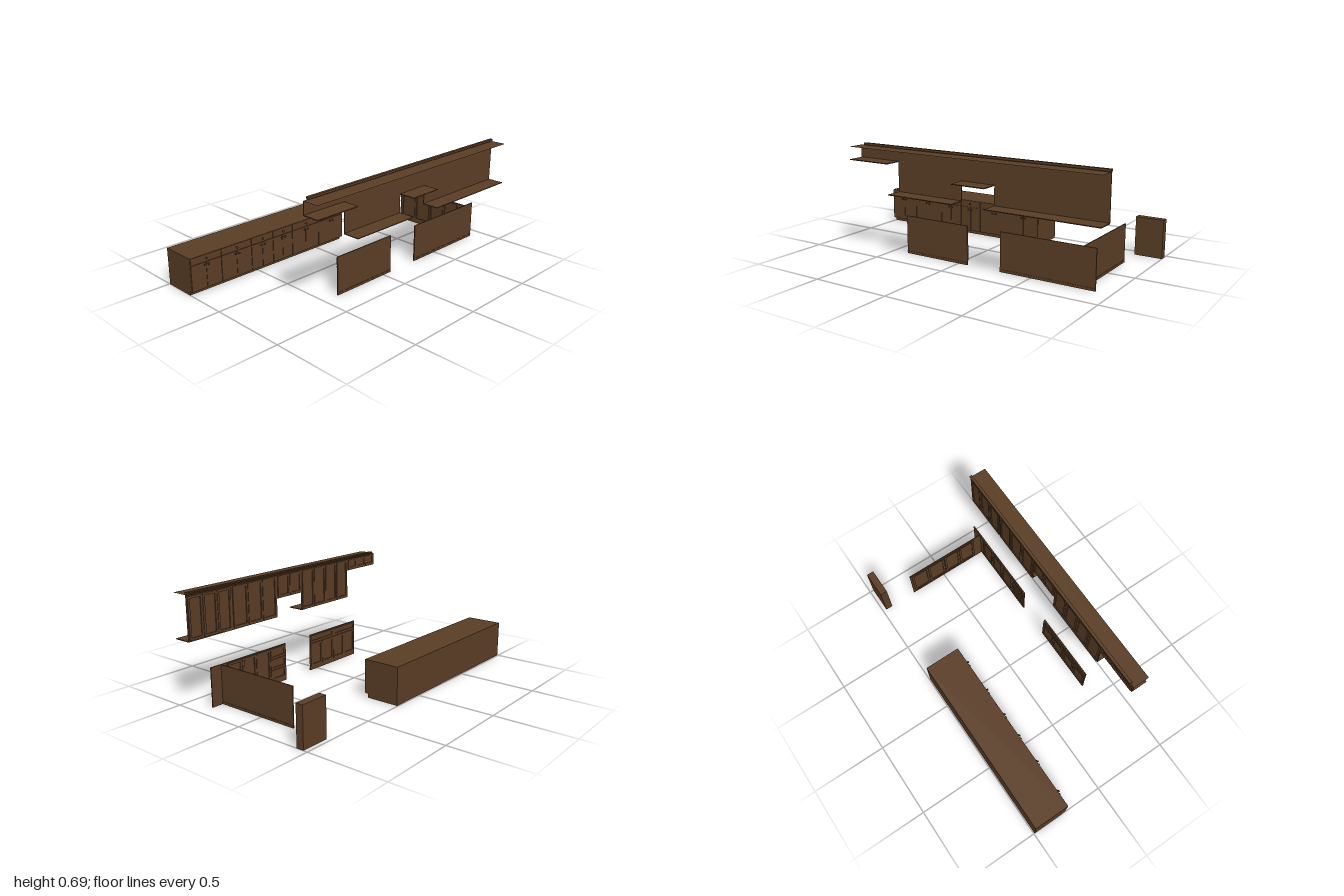
import * as THREE from 'three';

const wood = new THREE.MeshStandardMaterial({ color: 0x5a3d25, side: THREE.DoubleSide });
wood.name = 'dark brown wood';

// box given by its lower and upper corners
function box(parent, name, x0, x1, y0, y1, z0, z1) {
  const m = new THREE.Mesh(new THREE.BoxGeometry(x1 - x0, y1 - y0, z1 - z0), wood);
  m.position.set((x0 + x1) / 2, (y0 + y1) / 2, (z0 + z1) / 2);
  m.name = name;
  parent.add(m);
  return m;
}

// framed door or drawer front with an open recessed field, facing local +z from z = 0
function framed(parent, name, x0, x1, y0, y1, depth = 0.006) {
  const g = 0.0015, b = Math.min(0.014, (x1 - x0) * 0.2, (y1 - y0) * 0.25);
  const rect = (P, e) => {
    const p = new P();
    p.moveTo(x0 + e, y0 + e);
    p.lineTo(x1 - e, y0 + e);
    p.lineTo(x1 - e, y1 - e);
    p.lineTo(x0 + e, y1 - e);
    p.closePath();
    return p;
  };
  const s = rect(THREE.Shape, g);
  s.holes.push(rect(THREE.Path, g + b));
  const m = new THREE.Mesh(new THREE.ExtrudeGeometry(s, { depth, bevelEnabled: false }), wood);
  m.name = name;
  parent.add(m);
}

function doorRow(parent, x0, x1, count, y0, y1) {
  const w = (x1 - x0) / count;
  for (let i = 0; i < count; i++) framed(parent, 'door', x0 + i * w, x0 + (i + 1) * w, y0, y1);
}

// round pull: short stem and wider head, along +z
function knob(parent, x, y, z) {
  const profile = [[0, 0], [0.003, 0], [0.003, 0.006], [0.007, 0.008], [0.006, 0.012], [0, 0.013]];
  const geo = new THREE.LatheGeometry(profile.map(p => new THREE.Vector2(...p)), 12);
  geo.rotateX(Math.PI / 2);
  const m = new THREE.Mesh(geo, wood);
  m.name = 'knob';
  m.position.set(x, y, z);
  parent.add(m);
}

// group whose local +z looks along the given heading
function facing(parent, name, x, z, angle) {
  const g = new THREE.Group();
  g.name = name;
  g.position.set(x, 0, z);
  g.rotation.y = angle;
  parent.add(g);
  return g;
}

export function createModel() {
  const root = new THREE.Group();
  root.name = 'kitchenCabinets';

  // long base cabinet with a recessed plinth
  const base = new THREE.Group();
  base.name = 'baseCabinet';
  root.add(base);
  box(base, 'carcass', -1, 0.22, 0.025, 0.237, -0.495, -0.262);
  box(base, 'plinth', -1, 0.22, 0, 0.025, -0.495, -0.282);
  const fronts = facing(base, 'baseFronts', 0, -0.262, 0);
  const bounds = [-1, -0.785, -0.56, -0.39, -0.23, 0, 0.22];
  for (let i = 0; i < bounds.length - 1; i++) {
    const a = bounds[i], b = bounds[i + 1], c = (a + b) / 2;
    box(fronts, 'drawerFront', a + 0.0015, b - 0.0015, 0.193, 0.236, 0, 0.005);
    box(fronts, 'door', a + 0.0015, c - 0.001, 0.026, 0.19, 0, 0.005);
    box(fronts, 'door', c + 0.001, b - 0.0015, 0.026, 0.19, 0, 0.005);
    knob(fronts, c, 0.215, 0.005);
    for (const s of [-1, 1]) knob(fronts, c + s * 0.013, 0.175, 0.005);
  }

  // separate narrow cabinet
  box(root, 'endCabinet', 0.822, 1, 0, 0.246, -0.475, -0.428);

  // low panels, plain on the front and framed on the back
  const low = new THREE.Group();
  low.name = 'lowPanels';
  root.add(low);
  for (const [x0, x1] of [[-0.393, 0.065], [0.295, 0.905]]) {
    box(low, 'panel', x0, x1, 0, 0.243, 0.318, 0.325);
    box(low, 'baseStrip', x0, x1, 0, 0.016, 0.325, 0.327);
  }
  const backFronts = facing(low, 'lowFronts', 0, 0.318, Math.PI);
  // local x runs opposite to model x here
  doorRow(backFronts, -0.065, 0.165, 2, 0.025, 0.185);
  framed(backFronts, 'drawerFront', -0.065, 0.165, 0.188, 0.238);
  doorRow(backFronts, 0.165, 0.39, 2, 0.025, 0.185);
  framed(backFronts, 'drawerFront', 0.165, 0.39, 0.188, 0.238);
  doorRow(backFronts, -0.785, -0.555, 2, 0.025, 0.238);
  doorRow(backFronts, -0.555, -0.435, 1, 0.025, 0.238);
  for (let i = 0; i < 3; i++)
    framed(backFronts, 'drawerFront', -0.435, -0.3, 0.025 + i * 0.071, 0.096 + i * 0.071);

  // return panel running backwards, framed on its inner side
  box(low, 'returnPanel', 0.824, 0.83, 0, 0.243, -0.247, 0.318);
  box(low, 'returnBaseStrip', 0.83, 0.832, 0, 0.016, -0.247, 0.318);
  const sideFronts = facing(low, 'returnFronts', 0.824, 0, -Math.PI / 2);
  doorRow(sideFronts, -0.235, 0.02, 2, 0.025, 0.238);
  doorRow(sideFronts, 0.022, 0.26, 2, 0.025, 0.238);

  // wall cabinets: back sheet, bottom board and framed doors per section
  const upper = new THREE.Group();
  upper.name = 'wallCabinets';
  root.add(upper);
  const doors = facing(upper, 'wallDoors', 0, 0.382, Math.PI);
  const sections = [
    [-0.7, -0.4, 0.592, 3],
    [-0.4, 0.07, 0.403, 4],
    [0.07, 0.295, 0.522, 2],
    [0.295, 0.67, 0.403, 3],
    [0.67, 1, 0.403, 3],
  ];
  for (const [x0, x1, y0, n] of sections) {
    box(upper, 'faceSheet', x0, x1, y0, 0.675, 0.382, 0.386);
    box(upper, 'bottomBoard', x0, x1, y0, y0 + 0.005, 0.386, 0.491);
    doorRow(doors, -x1 + 0.006, -x0 - 0.006, n, y0 + 0.006, 0.667);
  }

  // thin top sheet
  const top = new THREE.Mesh(new THREE.PlaneGeometry(1.7, 0.107), wood);
  top.name = 'topSheet';
  top.rotation.x = -Math.PI / 2;
  top.position.set(0.15, 0.675, 0.4375);
  upper.add(top);

  // wedge-shaped crown moulding
  const s = new THREE.Shape();
  s.moveTo(-0.372, 0.69);
  s.lineTo(-0.372, 0.684);
  s.lineTo(-0.382, 0.671);
  s.lineTo(-0.386, 0.671);
  s.lineTo(-0.391, 0.678);
  s.lineTo(-0.391, 0.69);
  s.closePath();
  const crownGeo = new THREE.ExtrudeGeometry(s, { depth: 1.67, bevelEnabled: false });
  crownGeo.rotateY(Math.PI / 2);
  const crown = new THREE.Mesh(crownGeo, wood);
  crown.name = 'crownMoulding';
  crown.position.x = -0.67;
  upper.add(crown);

  return root;
}
